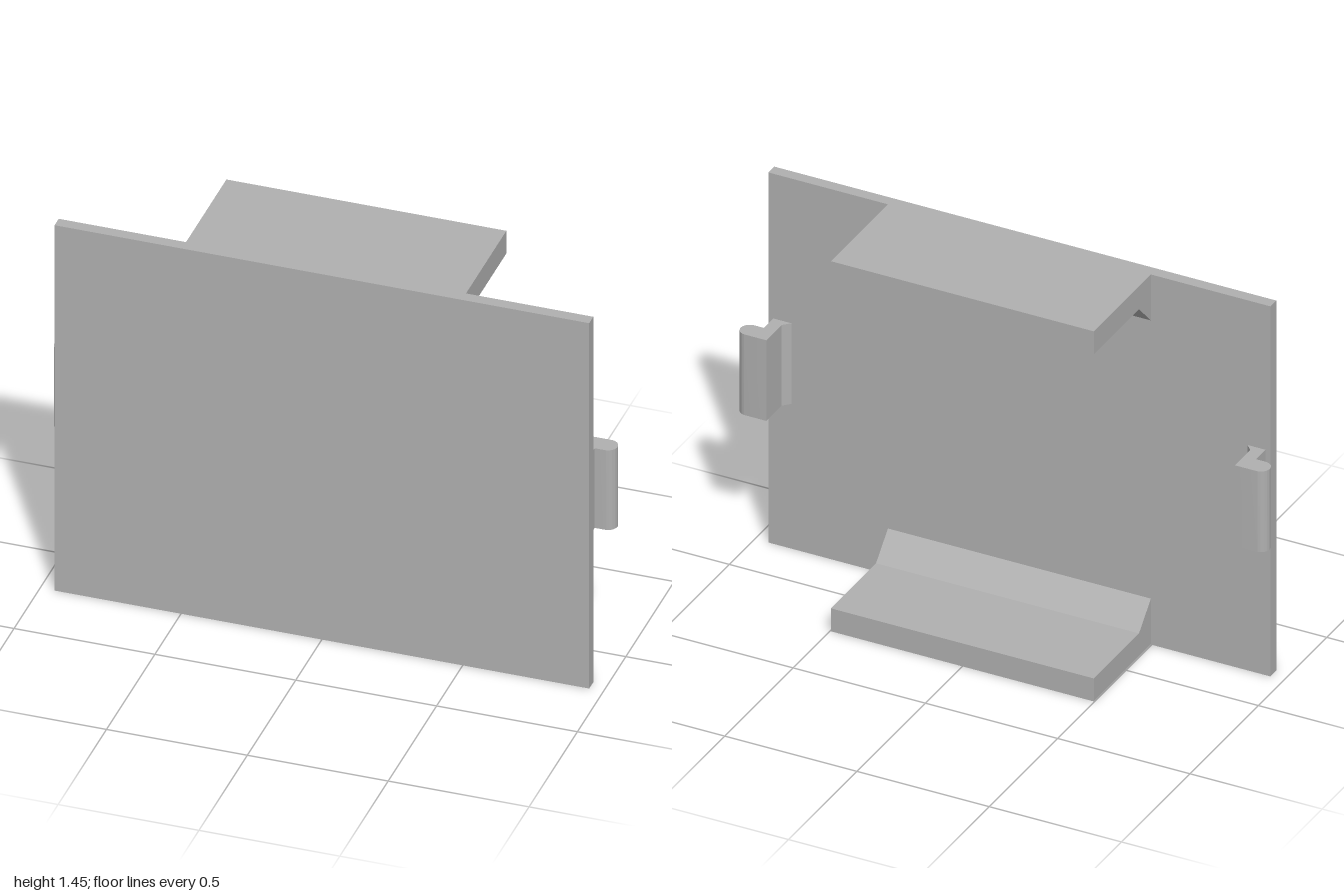
import * as THREE from 'three';
import { toCreasedNormals } from 'three/addons/utils/BufferGeometryUtils.js';

const HEIGHT = 1.45, MID = HEIGHT / 2;
const PLATE_BACK = 0.187, PLATE_FRONT = 0.23;

// Extrude a closed shape, centred on the extrusion axis
function extrude(shape, depth) {
  const geo = new THREE.ExtrudeGeometry(shape, { depth, bevelEnabled: false, curveSegments: 16 });
  return geo.translate(0, 0, -depth / 2);
}

// Shelf with a sloped fillet where it meets the plate: profile in (z, y), run along x
function shelfGeometry() {
  const shape = new THREE.Shape([
    [-0.23, MID], [-0.23, MID - 0.09], [0.1, MID - 0.09],
    [PLATE_BACK, MID - 0.18], [PLATE_BACK, MID],
  ].map(([z, y]) => new THREE.Vector2(z, y)));
  return extrude(shape, 0.994).rotateY(-Math.PI / 2);
}

// Snap clip with flared foot and rounded hook: profile in (x, z), run along y
function clipGeometry() {
  const r = 0.034, zHook = 0.05 + r;
  const shape = new THREE.Shape();
  shape.moveTo(0.862, PLATE_BACK);
  shape.lineTo(0.886, 0.162);
  shape.lineTo(0.886, 0.05);
  shape.lineTo(1 - r, 0.05);
  shape.absarc(1 - r, zHook, r, -Math.PI / 2, Math.PI / 2, false);
  shape.lineTo(0.93, zHook + r);
  shape.lineTo(0.93, PLATE_BACK);
  shape.closePath();
  return toCreasedNormals(extrude(shape, 0.316).rotateX(Math.PI / 2), 0.6);
}

export function createModel() {
  const model = new THREE.Group();
  model.name = 'coverPanel';
  const grey = new THREE.MeshStandardMaterial({ color: 0xb0b0b0 });
  grey.name = 'plain grey';

  const add = (name, geo, turn = 0) => {
    const mesh = new THREE.Mesh(geo, grey);
    mesh.name = name;
    mesh.position.y = MID;
    mesh.rotation.z = turn;
    model.add(mesh);
    return mesh;
  };

  // Front plate
  const thickness = PLATE_FRONT - PLATE_BACK;
  add('frontPlate', new THREE.BoxGeometry(1.898, HEIGHT, thickness))
    .position.z = (PLATE_FRONT + PLATE_BACK) / 2;

  // Shelves and clips: the second of each is the first turned half round
  const shelf = shelfGeometry(), clip = clipGeometry();
  add('topShelf', shelf);
  add('bottomShelf', shelf, Math.PI);
  add('leftClip', clip);
  add('rightClip', clip, Math.PI);

  return model;
}
